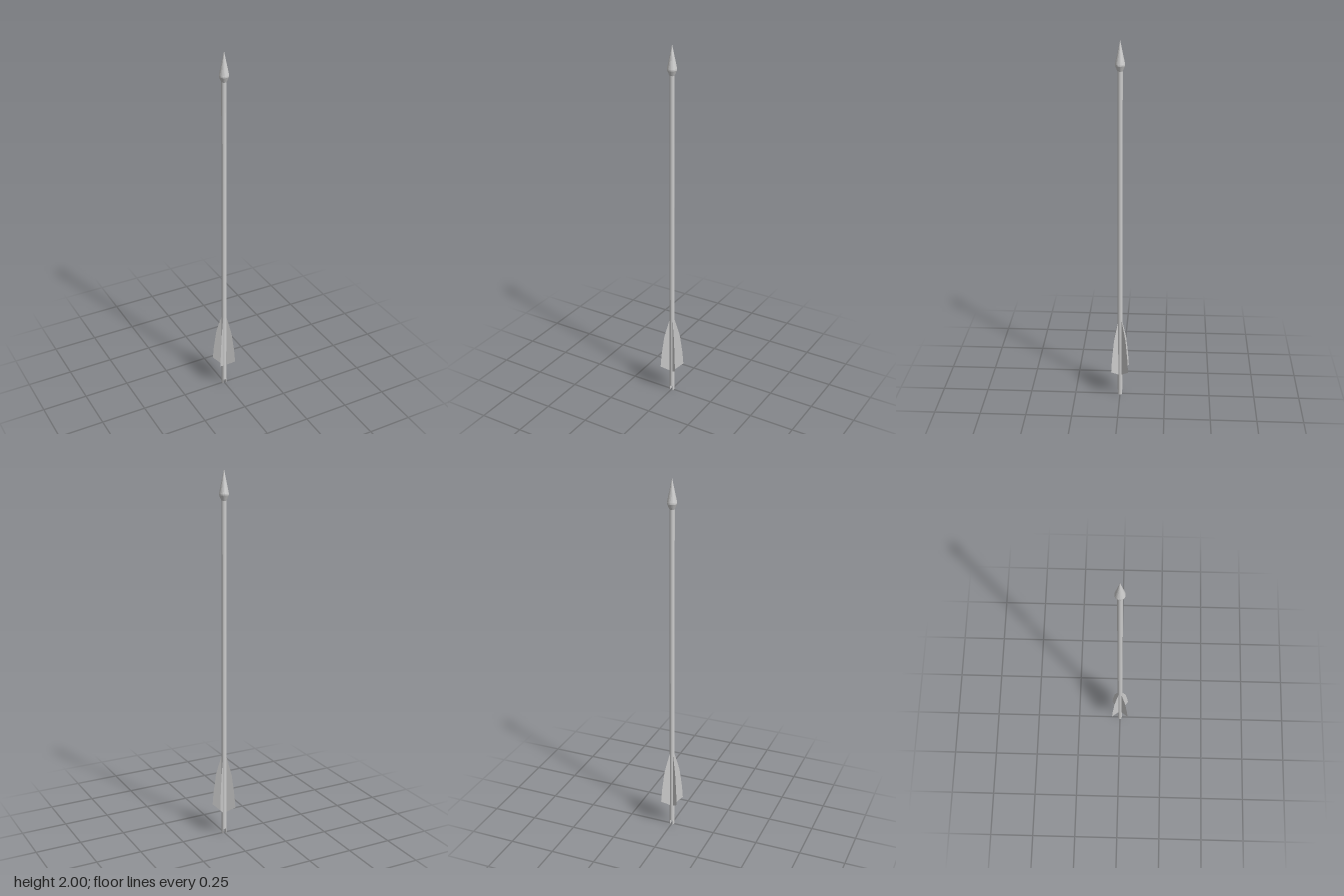
import * as THREE from 'three';

const SHAFT_R = 0.0135;
const SLOT_H = 0.027;
const SLOT_HALF = 0.008;

export function createModel() {
  const arrow = new THREE.Group();
  arrow.name = 'arrow';
  const grey = new THREE.MeshStandardMaterial({ color: 0xcccccc, flatShading: true });
  const thin = new THREE.MeshStandardMaterial({ color: 0xcccccc, flatShading: true, side: THREE.DoubleSide });

  const add = (name, geometry, material, parent = arrow) => {
    const mesh = new THREE.Mesh(geometry, material);
    mesh.name = name;
    parent.add(mesh);
    return mesh;
  };

  // Shaft, starting above the string slot
  const shaftLength = 1.85 - SLOT_H;
  add('shaft', new THREE.CylinderGeometry(SHAFT_R, SHAFT_R, shaftLength, 16), grey)
    .position.y = SLOT_H + shaftLength / 2;

  // Pointed head with a short taper back to the shaft
  const headProfile = [[0, 1.842], [0.0135, 1.842], [0.0255, 1.87], [0.0255, 1.877], [0, 2]];
  add('arrowHead', new THREE.LatheGeometry(headProfile.map(([r, y]) => new THREE.Vector2(r, y)), 20), grey);

  // Nock: two prongs with the string slot running along z
  const nock = new THREE.Group();
  nock.name = 'nock';
  arrow.add(nock);
  const half = Math.acos(SLOT_HALF / SHAFT_R);
  const segment = new THREE.Shape();
  segment.absarc(0, 0, SHAFT_R, -half, half, false);
  segment.closePath();
  const prong = new THREE.ExtrudeGeometry(segment, { depth: SLOT_H, bevelEnabled: false, curveSegments: 5 });
  prong.rotateX(-Math.PI / 2);
  for (const turn of [0, Math.PI]) add('nockProng', prong, grey, nock).rotation.y = turn;

  // Four thin vanes set on the diagonals
  const vaneShape = new THREE.Shape([
    [0.012, 0.125], [0.066, 0.16], [0.06, 0.235], [0.045, 0.345], [0.033, 0.39], [0.0135, 0.455], [0.012, 0.455],
  ].map(([r, y]) => new THREE.Vector2(r, y)));
  const vane = new THREE.ShapeGeometry(vaneShape);
  const fletching = new THREE.Group();
  fletching.name = 'fletching';
  arrow.add(fletching);
  for (let i = 0; i < 4; i++) add('vane', vane, thin, fletching).rotation.y = Math.PI / 4 + i * Math.PI / 2;

  return arrow;
}
